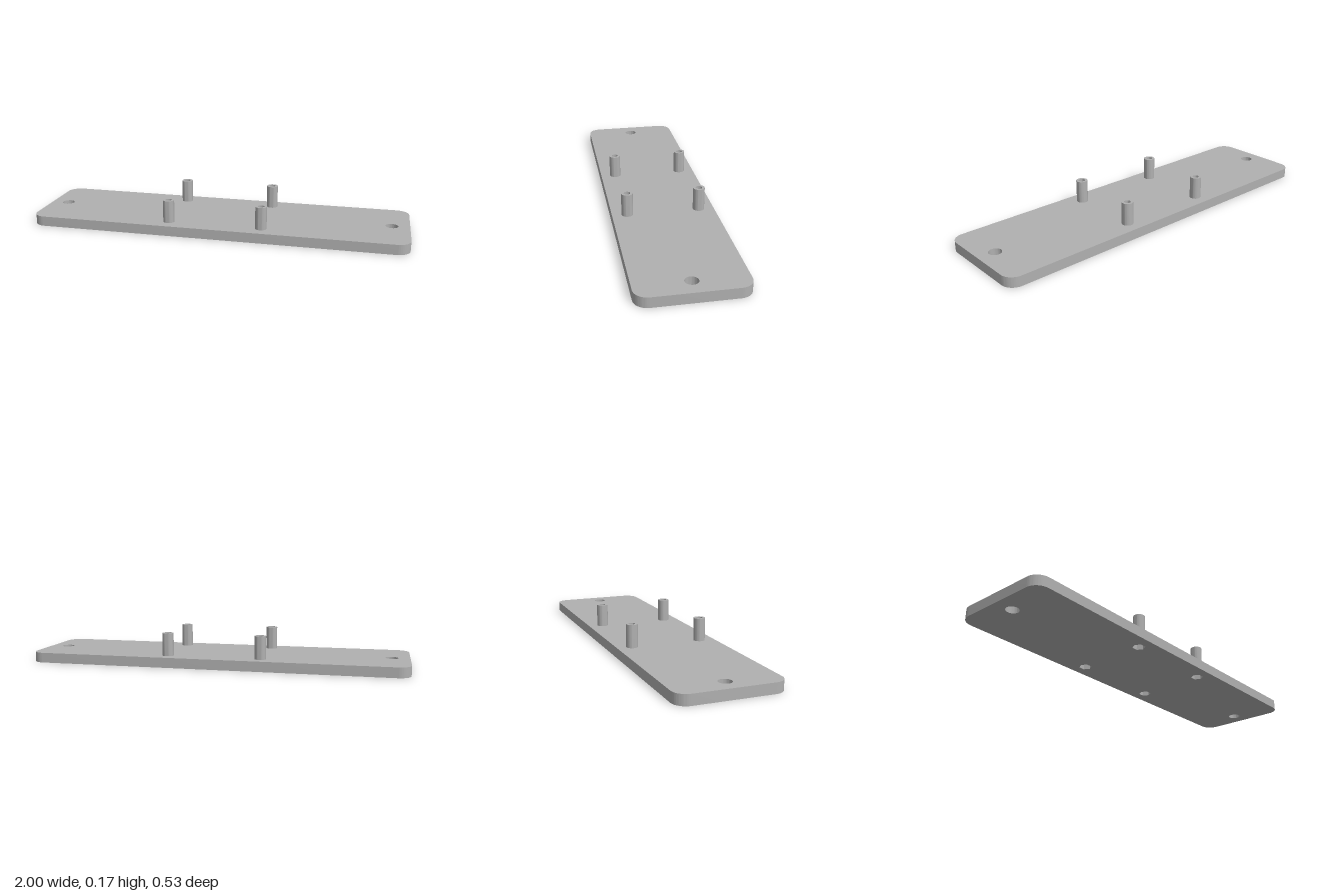
import * as THREE from 'three';
import { toCreasedNormals } from 'three/addons/utils/BufferGeometryUtils.js';

const LENGTH = 2, WIDTH = 0.533, THICK = 0.053, CORNER = 0.067;
const POST_R = 0.03, POST_TOP = 0.173, BORE_R = 0.0167;
const POCKET_R = 0.033, POCKET_DEPTH = 0.04;
const END_X = 0.907, END_R = 0.033;
const POST_X = 0.247, POST_Z = 0.187;

const metal = new THREE.MeshStandardMaterial({ color: 0xb0b0b0 });
metal.name = 'grey';

function circle(x, y, r) {
  return new THREE.Path().absarc(x, y, r, 0, Math.PI * 2, true);
}

function hexPoints(x, y, r) {
  return Array.from({ length: 6 }, (_, i) => {
    const a = i * Math.PI / 3;
    return new THREE.Vector2(x + r * Math.cos(a), y + r * Math.sin(a));
  });
}

// Extrudes a plan shape upward from y0 to y1
function slab(name, shape, y0, y1) {
  const geo = new THREE.ExtrudeGeometry(shape, { depth: y1 - y0, bevelEnabled: false, curveSegments: 20 });
  geo.rotateX(-Math.PI / 2);
  geo.translate(0, y0, 0);
  const mesh = new THREE.Mesh(toCreasedNormals(geo, 0.6), metal);
  mesh.name = name;
  return mesh;
}

export function createModel() {
  const model = new THREE.Group();
  model.name = 'mountingPlate';
  const posts = [-1, 1].flatMap(sx => [-1, 1].map(sz => [sx * POST_X, sz * POST_Z]));

  // Rounded base plate with end holes and hexagonal pockets
  const a = LENGTH / 2 - CORNER, b = WIDTH / 2 - CORNER, q = Math.PI / 2;
  const plate = new THREE.Shape();
  [[a, b], [-a, b], [-a, -b], [a, -b]].forEach(([x, y], i) =>
    plate.absarc(x, y, CORNER, i * q, (i + 1) * q, false));
  plate.closePath();
  for (const s of [-1, 1]) plate.holes.push(circle(s * END_X, 0, END_R));
  for (const [x, z] of posts) plate.holes.push(new THREE.Path(hexPoints(x, z, POCKET_R)));
  model.add(slab('basePlate', plate, 0, THICK));

  for (const [x, z] of posts) {
    const standoff = new THREE.Group();
    standoff.name = 'standoff';
    standoff.position.set(x, 0, z);

    // Pocket ceiling with the bore through it
    const seat = new THREE.Shape(hexPoints(0, 0, POCKET_R));
    seat.holes.push(circle(0, 0, BORE_R));
    standoff.add(slab('pocketCeiling', seat, POCKET_DEPTH, THICK));

    // Hollow post
    const tube = new THREE.Shape().absarc(0, 0, POST_R, 0, Math.PI * 2, false);
    tube.holes.push(circle(0, 0, BORE_R));
    standoff.add(slab('post', tube, THICK, POST_TOP));
    model.add(standoff);
  }
  return model;
}
